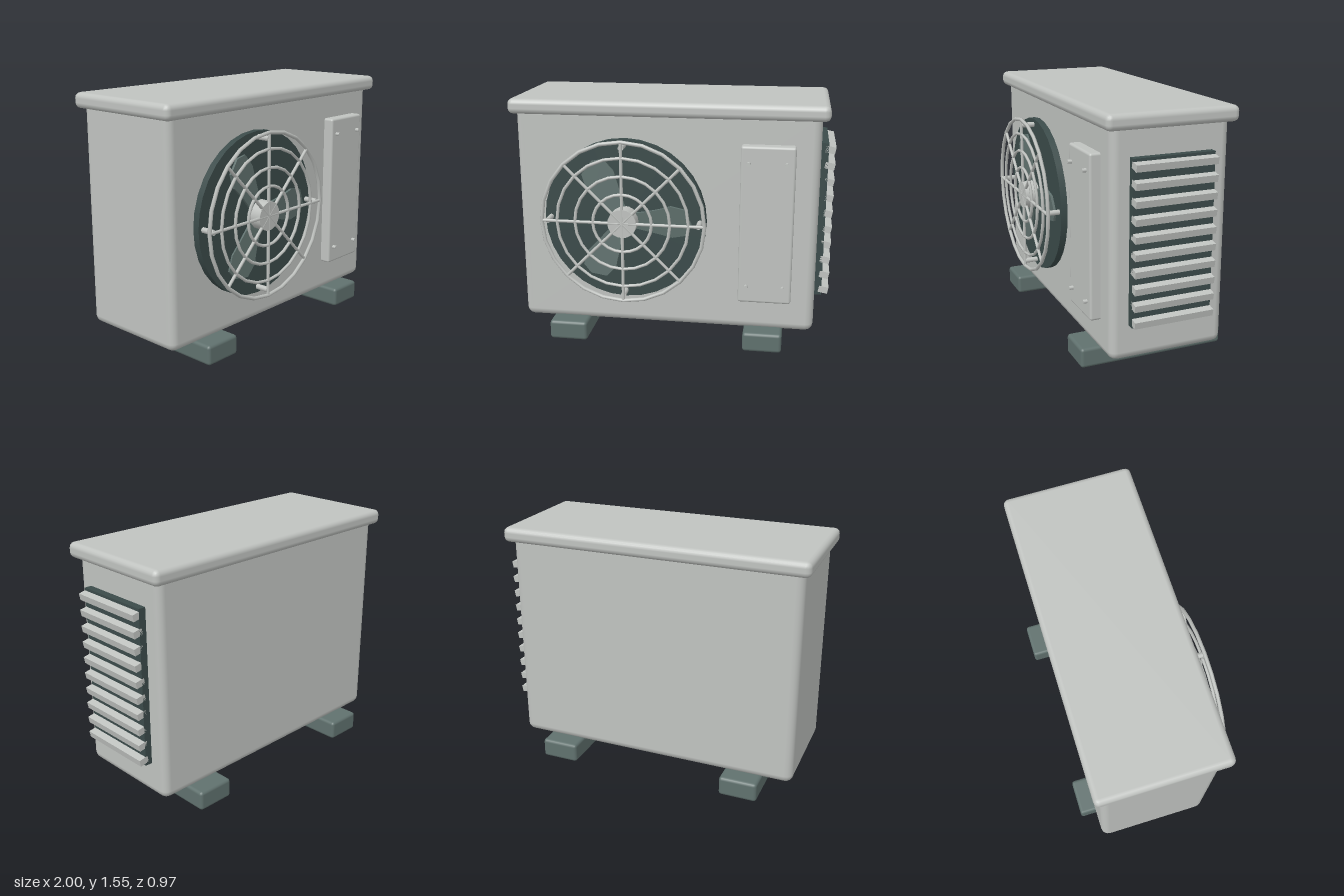
import * as THREE from 'three';
import { RoundedBoxGeometry } from 'three/addons/geometries/RoundedBoxGeometry.js';

export function createModel() {
  const model = new THREE.Group();
  model.name = 'outdoorUnit';

  const mat = (name, color) => {
    const m = new THREE.MeshStandardMaterial({ color });
    m.name = name;
    return m;
  };
  const casing = mat('casingGrey', 0xc0c3c0);
  const dark = mat('darkSlate', 0x3b4b4a);
  const slate = mat('midSlate', 0x60716e);

  const add = (parent, name, geometry, material, x = 0, y = 0, z = 0) => {
    const mesh = new THREE.Mesh(geometry, material);
    mesh.name = name;
    mesh.position.set(x, y, z);
    parent.add(mesh);
    return mesh;
  };
  // Rounded box given by its minimum and maximum corners
  const block = (name, material, [x0, y0, z0], [x1, y1, z1], r) =>
    add(model, name, new RoundedBoxGeometry(x1 - x0, y1 - y0, z1 - z0, 2, r), material,
      (x0 + x1) / 2, (y0 + y1) / 2, (z0 + z1) / 2);
  // Cylinder along z from z0 to z1
  const rod = (parent, name, material, r, x, y, z0, z1, sides) =>
    add(parent, name, new THREE.CylinderGeometry(r, r, z1 - z0, sides).rotateX(Math.PI / 2),
      material, x, y, (z0 + z1) / 2);

  // Casing, roof and feet
  block('body', casing, [-0.96, 0.11, -0.38], [0.91, 1.5, 0.345], 0.05);
  block('roof', casing, [-1, 1.455, -0.42], [0.955, 1.55, 0.387], 0.035);
  block('leftFoot', slate, [0.475, 0, -0.485], [0.72, 0.125, 0.45], 0.02);
  block('rightFoot', slate, [-0.77, 0, -0.485], [-0.525, 0.125, 0.45], 0.02);

  // Service panel with four screws
  block('servicePanel', casing, [0.438, 0.318, 0.33], [0.765, 1.308, 0.41], 0.015);
  for (const x of [0.487, 0.712])
    for (const y of [0.425, 1.205]) rod(model, 'panelScrew', casing, 0.012, x, y, 0.4, 0.435, 10);

  // Fan: recess disc, hub and three pitched blades
  const fan = new THREE.Group();
  fan.name = 'fan';
  fan.position.set(-0.273, 0.815, 0);
  model.add(fan);
  rod(fan, 'fanRecess', dark, 0.508, 0, 0, 0.33, 0.387, 32);
  rod(fan, 'fanHub', casing, 0.09, 0, 0, 0.38, 0.48, 20);

  const bladeShape = new THREE.Shape();
  bladeShape.moveTo(0.05, -0.045);
  bladeShape.lineTo(0.05, 0.05);
  bladeShape.quadraticCurveTo(0.2, 0.07, 0.29, 0.105);
  bladeShape.lineTo(0.38, 0.085);
  bladeShape.lineTo(0.42, -0.01);
  bladeShape.lineTo(0.395, -0.08);
  bladeShape.lineTo(0.3, -0.1);
  bladeShape.quadraticCurveTo(0.18, -0.07, 0.05, -0.045);
  const bladeGeometry = new THREE.ExtrudeGeometry(bladeShape, {
    depth: 0.015, bevelEnabled: false, curveSegments: 4,
  }).rotateX(0.08);
  for (let i = 0; i < 3; i++)
    add(fan, 'fanBlade', bladeGeometry, slate, 0, 0, 0.39).rotation.z = (i * Math.PI * 2) / 3;

  // Guard: concentric rings, eight spokes and four standoffs
  const guardZ = 0.472;
  for (const [radius, tube] of [[0.507, 0.012], [0.41, 0.01], [0.296, 0.01], [0.183, 0.01]])
    add(fan, 'guardRing', new THREE.TorusGeometry(radius, tube, 6, 24), casing, 0, 0, guardZ);
  for (let i = 0; i < 4; i++) {
    const a = (i * Math.PI) / 4;
    add(fan, 'guardSpoke', new THREE.CylinderGeometry(0.01, 0.01, 1.01, 8), casing, 0, 0, guardZ)
      .rotation.z = a;
    rod(fan, 'guardStandoff', casing, 0.017,
      0.47 * Math.cos(2 * a), 0.47 * Math.sin(2 * a), 0.38, guardZ, 10);
  }

  // Side vent: backing plate and ten tilted slats
  add(model, 'ventBacking', new THREE.BoxGeometry(0.06, 0.98, 0.5), dark, 0.925, 0.815, -0.015);
  const slatGeometry = new THREE.BoxGeometry(0.06, 0.042, 0.5);
  for (let i = 0; i < 10; i++)
    add(model, 'ventSlat', slatGeometry, casing, 0.966, 0.36 + i * 0.1005, -0.015)
      .rotation.z = -0.2;

  return model;
}
